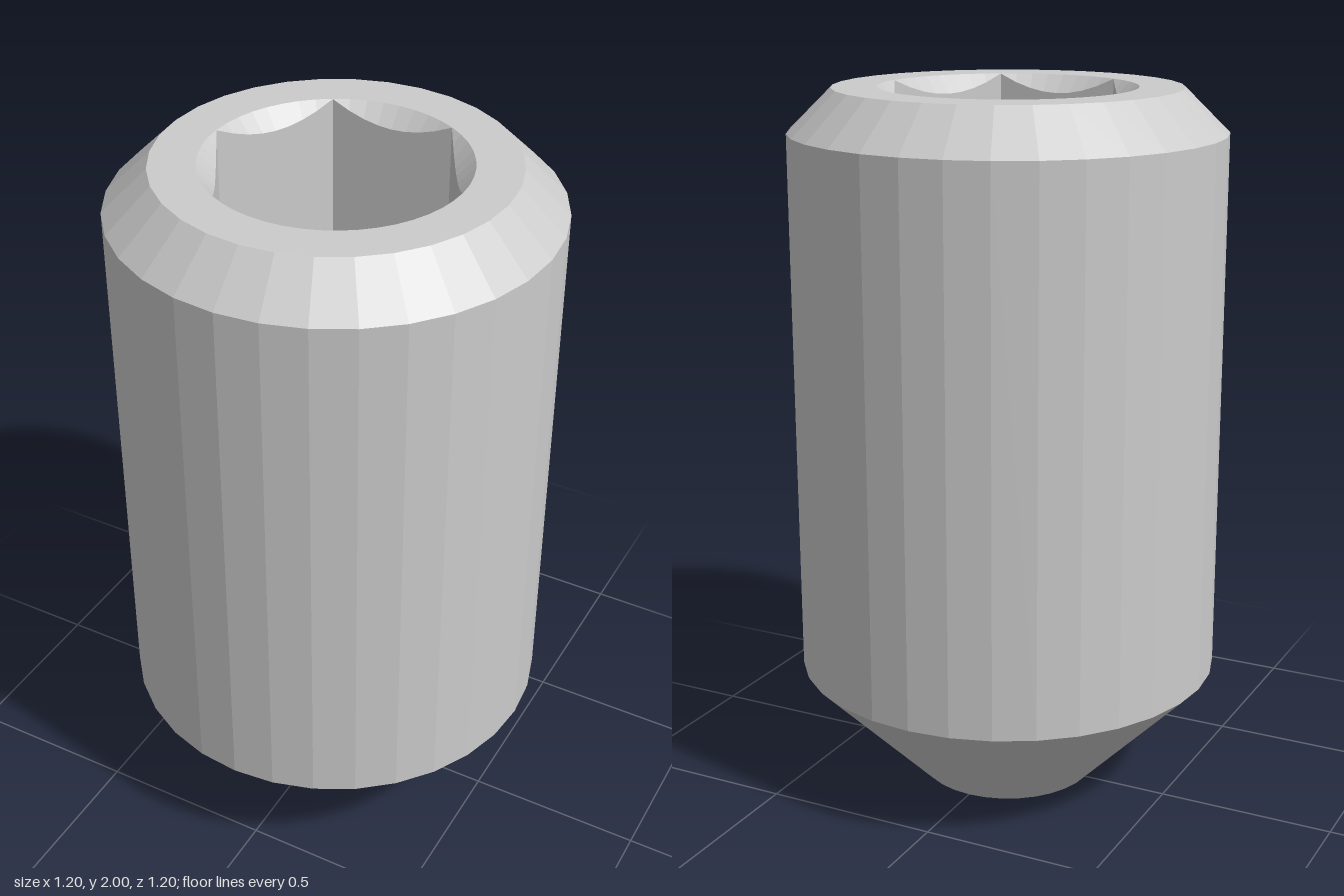
import * as THREE from 'three';

const TOP = 2;
const RIM = 0.354;       // countersink radius at the top face
const HALF_FLAT = 0.306; // half the hexagon's width across flats
const FLOOR = 1.3;       // height of the socket floor
const SIDES = 32;
const SOCKET_SIDES = 48; // a multiple of six, so the hexagon corners are sharp

const material = new THREE.MeshStandardMaterial({ color: 0xcccccc, flatShading: true });

function lathe(points, sides) {
  return new THREE.LatheGeometry(points.map(([r, y]) => new THREE.Vector2(r, y)), sides);
}

function circlePoints(radius, sides) {
  return Array.from({ length: sides }, (_, i) => {
    const a = (i / sides) * Math.PI * 2;
    return new THREE.Vector2(radius * Math.cos(a), radius * Math.sin(a));
  });
}

// Distance from the axis to the hexagon wall, flats facing +z and -z
function hexRadius(angle) {
  const sector = Math.PI / 3;
  return HALF_FLAT / Math.cos(angle - sector * Math.round(angle / sector));
}

// Hex socket: a lathed cup whose walls are pushed out to a hexagon,
// with the upper wall edge following the 45 degree countersink
function socketGeometry() {
  const geo = lathe([[RIM, TOP], [HALF_FLAT, 1.9], [HALF_FLAT, FLOOR], [0, FLOOR]], SOCKET_SIDES);
  const pos = geo.attributes.position;
  for (let i = 0; i < pos.count; i++) {
    const row = i % 4;
    if (row !== 1 && row !== 2) continue;
    const angle = Math.atan2(pos.getX(i), pos.getZ(i));
    const r = hexRadius(angle);
    const y = row === 1 ? TOP - (RIM - r) : FLOOR;
    pos.setXYZ(i, r * Math.sin(angle), y, r * Math.cos(angle));
  }
  geo.computeVertexNormals();
  return geo;
}

export function createModel() {
  const group = new THREE.Group();
  group.name = 'setScrew';
  const add = (name, geometry) => {
    const mesh = new THREE.Mesh(geometry, material);
    mesh.name = name;
    group.add(mesh);
    return mesh;
  };

  // Conical dimple in the tip, tapered point, shank and top chamfer
  add('cupDimple', lathe([[0, 0.146], [0.253, 0]], SIDES));
  add('taperedPoint', lathe([[0.253, 0], [0.6, 0.35]], SIDES));
  add('shank', lathe([[0.6, 0.35], [0.6, 1.88]], SIDES));
  add('topChamfer', lathe([[0.6, 1.88], [0.478, TOP]], SIDES));

  // Flat ring around the socket
  const ring = new THREE.Shape(circlePoints(0.478, SIDES));
  ring.holes.push(new THREE.Path(circlePoints(RIM, SOCKET_SIDES)));
  add('topFace', new THREE.ShapeGeometry(ring).rotateX(-Math.PI / 2).translate(0, TOP, 0));

  add('hexSocket', socketGeometry());
  return group;
}
